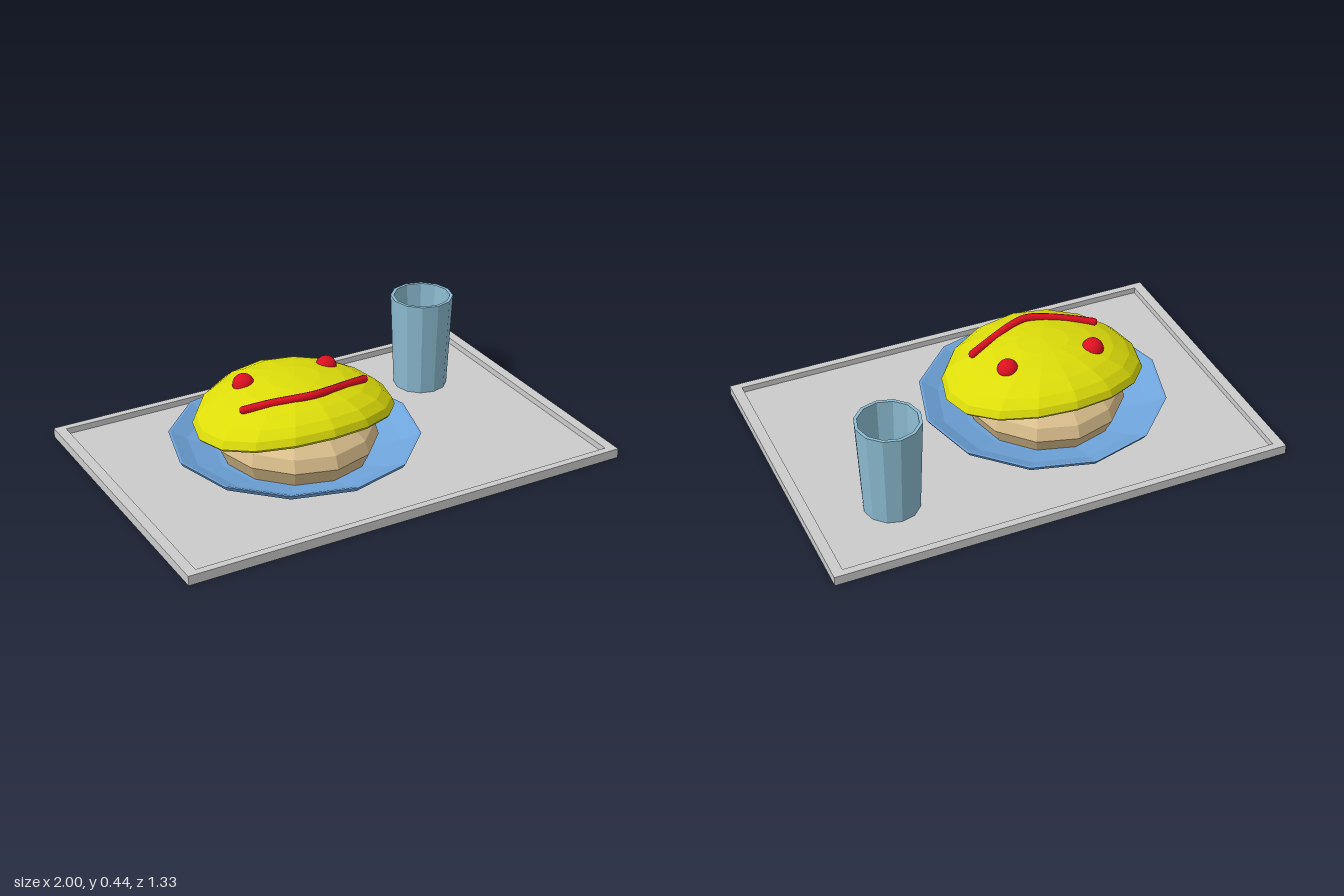
import * as THREE from 'three';

const mat = (color, flatShading = true) => new THREE.MeshStandardMaterial({ color, flatShading });
const CX = -0.185; // x centre of the plated dish

function add(group, name, geometry, material, x = 0, y = 0, z = 0) {
  const mesh = new THREE.Mesh(geometry, material);
  mesh.name = name;
  mesh.position.set(x, y, z);
  group.add(mesh);
  return mesh;
}

// faceted solid of revolution from [radius, height] pairs, listed bottom centre -> out -> up -> in
const lathe = (pairs, sides) =>
  new THREE.LatheGeometry(pairs.map(([r, y]) => new THREE.Vector2(r, y)), sides);

function rectangle(PathType, w, d) {
  const p = new PathType();
  p.moveTo(-w, -d).lineTo(w, -d).lineTo(w, d).lineTo(-w, d).closePath();
  return p;
}

export function createModel() {
  const model = new THREE.Group();
  model.name = 'mealTray';

  // Tray: raised rim around a thin floor
  const grey = mat(0xcccccc);
  const rimShape = rectangle(THREE.Shape, 1, 0.667);
  rimShape.holes.push(rectangle(THREE.Path, 0.955, 0.635));
  const rim = new THREE.ExtrudeGeometry(rimShape, { depth: 0.042, bevelEnabled: false });
  rim.rotateX(-Math.PI / 2);
  add(model, 'trayRim', rim, grey);
  add(model, 'trayFloor', new THREE.BoxGeometry(1.91, 0.015, 1.27), grey, 0, 0.0075, 0);

  // Plate: shallow twelve-sided dish
  add(model, 'plate', lathe([
    [0, 0.015], [0.24, 0.015], [0.35, 0.042], [0.455, 0.07], [0.515, 0.1], [0.53, 0.122],
    [0.52, 0.122], [0.45, 0.088], [0.34, 0.058], [0.24, 0.045], [0, 0.045],
  ], 12), mat(0x6fa5dc), CX);

  // Rice mound: flattened dome, slightly longer front to back
  const rice = lathe([
    [0, 0.05], [0.9, 0.05], [1, 0.125], [0.95, 0.18], [0.8, 0.228], [0.5, 0.27], [0, 0.29],
  ], 12);
  rice.scale(0.345, 1, 0.37);
  add(model, 'riceMound', rice, mat(0xdcc08e), CX);

  // Omelette: domed sheet, its left and right ends drooping over the rice
  const profile = [[0, -0.02], [0.5, -0.02], [0.9, -0.018], [0.98, -0.012]];
  for (let i = 0; i <= 6; i++) {
    const a = (i / 6) * Math.PI / 2;
    profile.push([i === 6 ? 0 : Math.cos(a), 0.122 * Math.sin(a)]);
  }
  const omelette = lathe(profile, 16);
  const pos = omelette.attributes.position;
  for (let i = 0; i < pos.count; i++) {
    const x = pos.getX(i);
    pos.setXYZ(i, x * 0.44, 0.265 + pos.getY(i) - 0.06 * x * x, pos.getZ(i) * 0.35);
  }
  omelette.computeVertexNormals();
  add(model, 'omelette', omelette, mat(0xdcdc0a), CX);

  // Ketchup face: two eyes and a smile
  const red = mat(0xdd1020, false);
  add(model, 'rightEye', new THREE.SphereGeometry(0.047, 16, 10), red, -0.37, 0.35, -0.098);
  add(model, 'leftEye', new THREE.SphereGeometry(0.045, 16, 10), red, 0.013, 0.347, -0.085);

  const smile = new THREE.CatmullRomCurve3([
    [-0.465, 0.34, 0.087], [-0.36, 0.362, 0.126], [-0.25, 0.376, 0.165], [-0.185, 0.38, 0.178],
    [-0.12, 0.375, 0.165], [0, 0.356, 0.122], [0.1, 0.338, 0.083],
  ].map((p) => new THREE.Vector3(...p)));
  add(model, 'smile', new THREE.TubeGeometry(smile, 20, 0.017, 8), red);
  for (const t of [0, 1]) {
    const p = smile.getPoint(t);
    add(model, 'smileEnd', new THREE.SphereGeometry(0.017, 8, 6), red, p.x, p.y, p.z);
  }

  // Cup: open tapered tumbler with a thin wall
  add(model, 'cup', lathe([
    [0, 0.015], [0.119, 0.015], [0.138, 0.442], [0.124, 0.442], [0.106, 0.035], [0, 0.035],
  ], 12), mat(0x8cbcd2), 0.63, 0, -0.32);

  return model;
}
